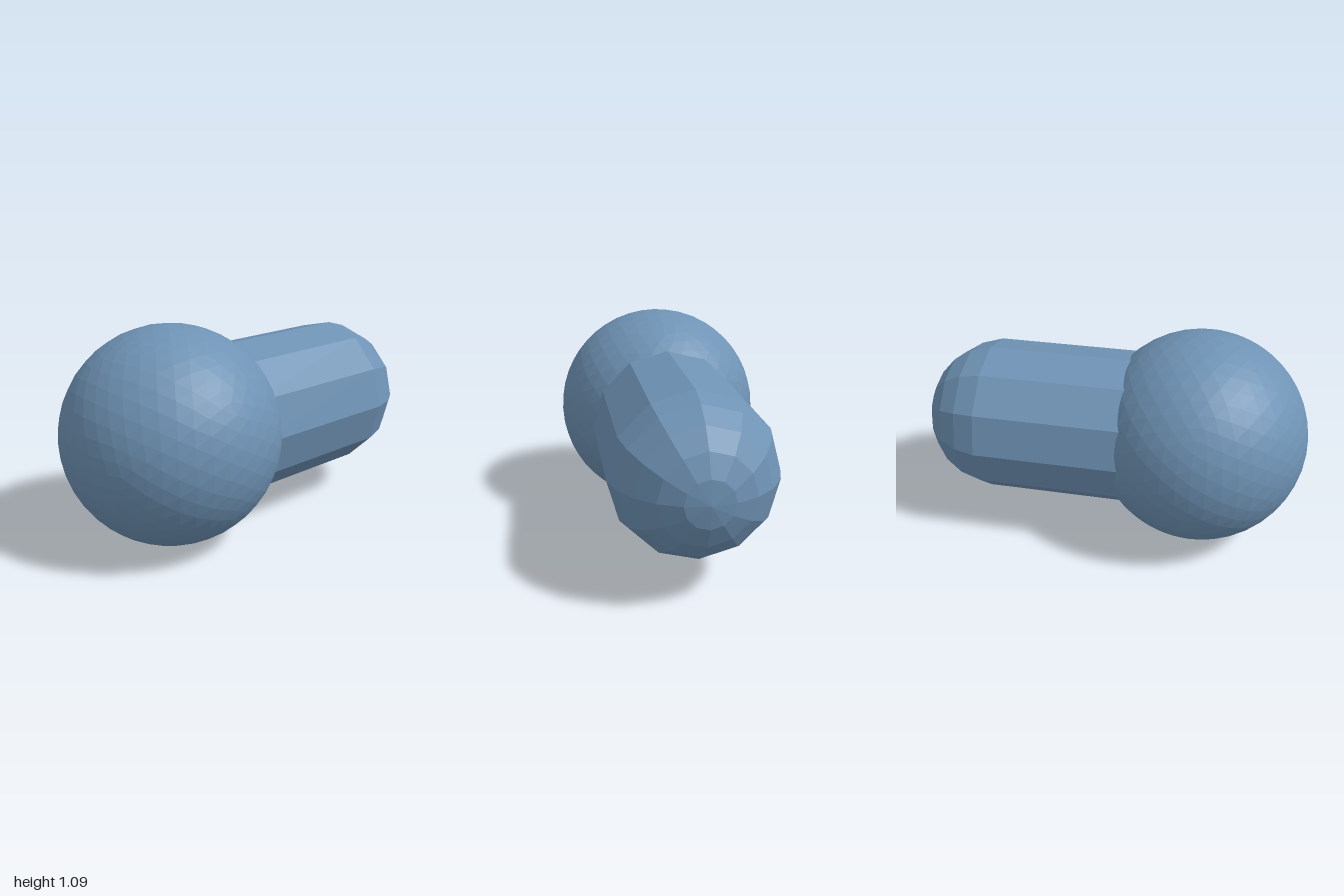
import * as THREE from 'three';

const AXIS_Y = 0.547;

// Flat-shaded blue shared by both parts
const material = new THREE.MeshStandardMaterial({ color: 0x6f93b5, flatShading: true });

// Half-round cap profile: rings of a sphere cut into an odd number of bands
function capProfile(radius, bands) {
  const points = [];
  for (let i = 0; i <= (bands - 1) / 2; i++) {
    const a = (i * Math.PI) / bands;
    points.push(new THREE.Vector2(radius * Math.sin(a), radius * Math.cos(a)));
  }
  return points;
}

export function createModel() {
  const group = new THREE.Group();
  group.name = 'ballAndCapsule';

  // Large faceted ball
  const ball = new THREE.Mesh(new THREE.IcosahedronGeometry(0.547, 7), material);
  ball.name = 'ball';
  ball.position.set(-0.453, AXIS_Y, 0);
  group.add(ball);

  // Twelve-sided rounded shaft, one end buried in the ball
  const cap = capProfile(0.404, 11);
  const outerEnd = cap.map((p) => new THREE.Vector2(p.x, p.y + 0.595));
  const innerEnd = cap.map((p) => new THREE.Vector2(p.x, -p.y - 0.2));
  const profile = [...innerEnd, ...outerEnd.reverse()];
  const shaft = new THREE.Mesh(new THREE.LatheGeometry(profile, 12), material);
  shaft.name = 'roundedShaft';
  shaft.rotation.z = -Math.PI / 2;
  shaft.position.y = AXIS_Y;
  group.add(shaft);

  return group;
}
